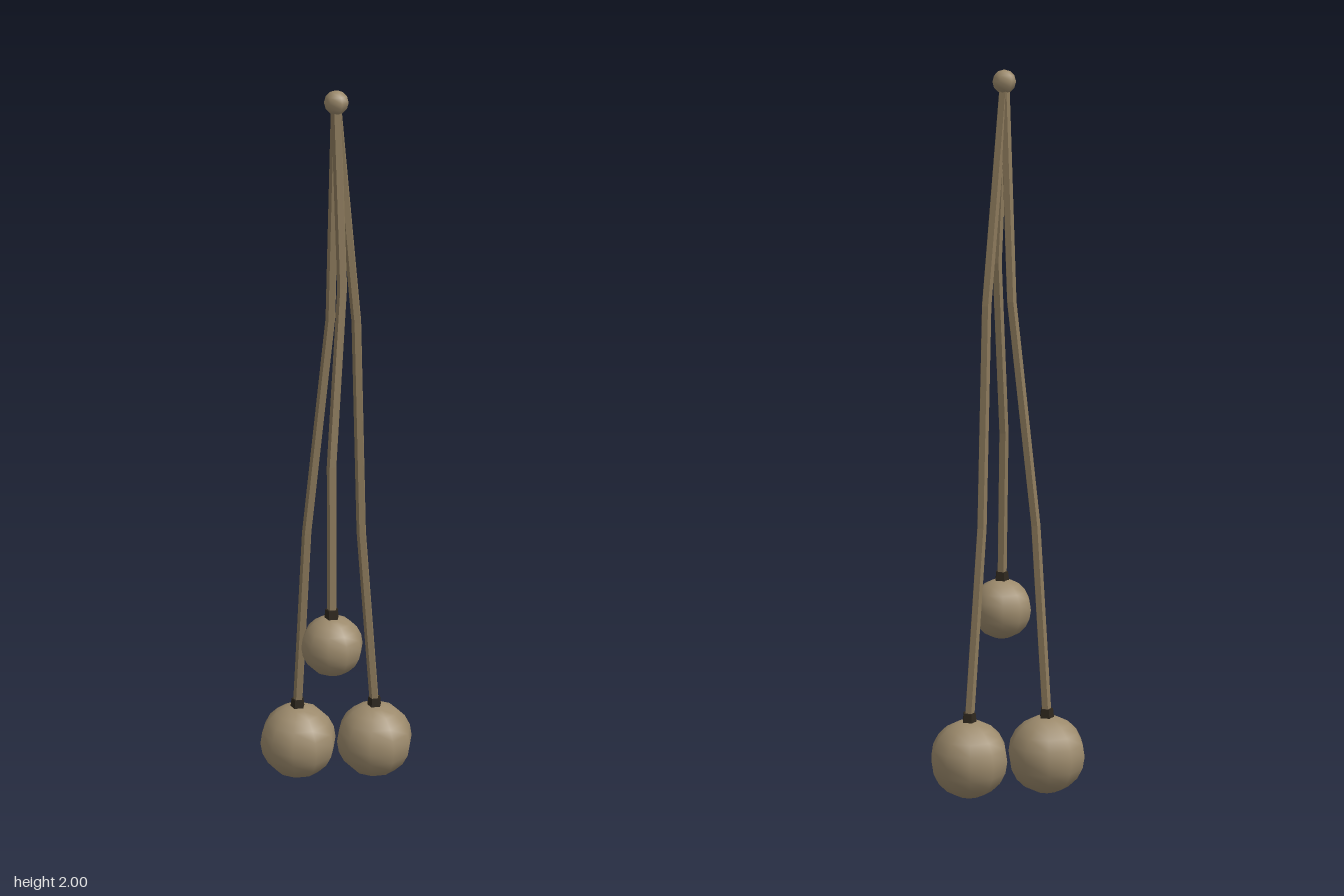
import * as THREE from 'three';

const tan = new THREE.MeshStandardMaterial({ color: 0x9c8a6c });
const cordTan = new THREE.MeshStandardMaterial({ color: 0x8c7a5c, flatShading: true });
const dark = new THREE.MeshStandardMaterial({ color: 0x2e271e, flatShading: true });

const KNOT = [-0.026, 1.968, 0.01];

// Each strand: cord points from the knot down, then its ball
const STRANDS = [
  { name: 'left', cord: [KNOT, [0.036, 1.37, 0.01], [0.053, 0.76, 0.01], [0.098, 0.22, 0.01]],
    ball: [0.098, 0.11, 0.01], radius: 0.11 },
  { name: 'rightBack', cord: [KNOT, [-0.027, 1.38, -0.02], [-0.083, 0.76, -0.057], [-0.098, 0.22, -0.09]],
    ball: [-0.098, 0.11, -0.09], radius: 0.11 },
  { name: 'rightFront', cord: [KNOT, [-0.027, 1.48, 0.044], [-0.08, 1.0, 0.08], [-0.098, 0.57, 0.111]],
    ball: [-0.098, 0.489, 0.111], radius: 0.086 },
];

function addMesh(parent, name, geometry, material, position = [0, 0, 0]) {
  const mesh = new THREE.Mesh(geometry, material);
  mesh.name = name;
  mesh.position.set(...position);
  parent.add(mesh);
  return mesh;
}

// Five-sided tube whose rings are moved onto the cord points
function cordGeometry(points, radius) {
  const spans = points.length - 1;
  const geometry = new THREE.CylinderGeometry(radius, radius, spans, 5, spans, true, Math.PI / 2);
  const pos = geometry.attributes.position;
  for (let i = 0; i < pos.count; i++) {
    const [x, y, z] = points[Math.round(spans / 2 - pos.getY(i))];
    pos.setXYZ(i, pos.getX(i) + x, y, pos.getZ(i) + z);
  }
  geometry.computeVertexNormals();
  return geometry;
}

export function createModel() {
  const model = new THREE.Group();
  model.name = 'bolas';

  // Knot joining the cords
  addMesh(model, 'knot', new THREE.SphereGeometry(0.032, 6, 6).rotateY(Math.PI / 2), tan, KNOT);

  for (const { name, cord, ball, radius } of STRANDS) {
    const strand = new THREE.Group();
    strand.name = name + 'Strand';
    model.add(strand);

    addMesh(strand, 'cord', cordGeometry(cord, 0.014), cordTan);

    // Weight, with its side vertices facing front and back
    addMesh(strand, 'ball', new THREE.SphereGeometry(radius, 10, 10).rotateY(Math.PI / 2), tan, ball);

    // Dark collar where the cord enters the weight
    const collar = new THREE.CylinderGeometry(0.018, 0.023, 0.04, 5, 1, false, Math.PI / 2);
    addMesh(strand, 'collar', collar, dark, [ball[0], ball[1] + radius + 0.002, ball[2]]);
  }
  return model;
}
